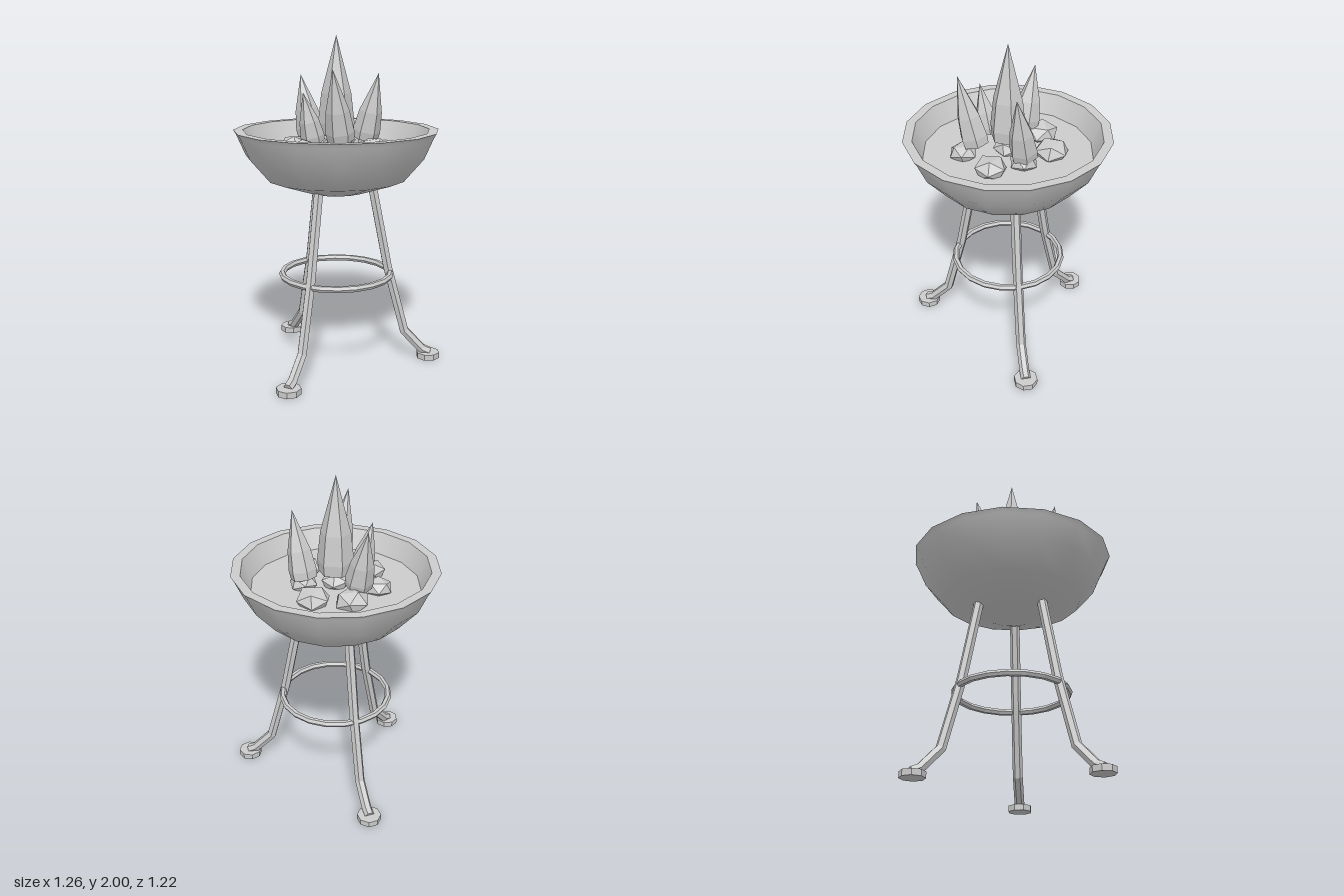
import * as THREE from 'three';

const flat = new THREE.MeshStandardMaterial({ color: 0xcccccc, flatShading: true });
const smooth = new THREE.MeshStandardMaterial({ color: 0xcccccc });
const CENTER_X = -0.02;
const v2 = (p) => p.map(([x, y]) => new THREE.Vector2(x, y));

function add(parent, name, geometry, material, x = 0, y = 0, z = 0) {
  const mesh = new THREE.Mesh(geometry, material);
  mesh.name = name;
  mesh.position.set(x, y, z);
  parent.add(mesh);
  return mesh;
}

// Six-sided bar swept along a bent path in the XY plane, with mitred joints
function barGeometry(path, radius, sides = 6) {
  const pts = v2(path), pos = [], idx = [];
  pts.forEach((p, i) => {
    const a = pts[Math.max(i - 1, 0)], b = pts[Math.min(i + 1, pts.length - 1)];
    const d1 = (i ? p.clone().sub(a) : b.clone().sub(p)).normalize();
    const d2 = (i < pts.length - 1 ? b.clone().sub(p) : p.clone().sub(a)).normalize();
    const t = d1.clone().add(d2).normalize();
    const miter = 1 / t.dot(d1);
    for (let k = 0; k < sides; k++) {
      const ang = ((k + 0.5) / sides) * Math.PI * 2;
      const u = Math.cos(ang) * radius * miter;
      pos.push(p.x - t.y * u, p.y + t.x * u, Math.sin(ang) * radius);
    }
  });
  for (let i = 0; i < pts.length - 1; i++) {
    for (let k = 0; k < sides; k++) {
      const a = i * sides + k, b = i * sides + ((k + 1) % sides);
      idx.push(a, b, a + sides, b, b + sides, a + sides);
    }
  }
  const last = (pts.length - 1) * sides;
  for (let k = 1; k < sides - 1; k++) {
    idx.push(0, k + 1, k, last, last + k, last + k + 1);
  }
  const g = new THREE.BufferGeometry();
  g.setAttribute('position', new THREE.Float32BufferAttribute(pos, 3));
  g.setIndex(idx);
  g.computeVertexNormals();
  return g;
}

// Six-sided flame leaning from its base point to its tip
function addFlame(parent, base, tip, radius) {
  const from = new THREE.Vector3(...base), dir = new THREE.Vector3(...tip).sub(from);
  const h = dir.length();
  const profile = v2([[0, 0], [radius * 0.94, 0], [radius, h * 0.12], [radius * 0.82, h * 0.42], [0, h]]);
  const flame = add(parent, 'flame', new THREE.LatheGeometry(profile, 6, Math.PI / 2), flat, ...base);
  flame.quaternion.setFromUnitVectors(new THREE.Vector3(0, 1, 0), dir.normalize());
}

export function createModel() {
  const model = new THREE.Group();
  model.name = 'firePit';

  // Bowl: separate lathes keep the rim edges sharp
  const bowl = new THREE.Group();
  bowl.name = 'bowl';
  bowl.position.x = CENTER_X;
  model.add(bowl);
  const lathe = (name, pts) => add(bowl, name, new THREE.LatheGeometry(v2(pts), 16), smooth);
  lathe('bowlShell', [[0, 1.08], [0.18, 1.08], [0.42, 1.16], [0.54, 1.3], [0.595, 1.425], [0.61, 1.45]]);
  lathe('bowlRim', [[0.61, 1.45], [0.555, 1.45]]);
  lathe('bowlInnerWall', [[0.555, 1.45], [0.5, 1.33]]);
  lathe('bowlFloor', [[0.5, 1.33], [0, 1.33]]);

  // Three bent legs with octagonal feet
  const legGeo = barGeometry([[0.215, 1.12], [0.315, 0.6], [0.425, 0.18], [0.54, 0.055], [0.585, 0.035]], 0.03);
  const footGeo = new THREE.CylinderGeometry(0.073, 0.073, 0.036, 8);
  footGeo.rotateY(Math.PI / 8);
  for (let i = 0; i < 3; i++) {
    const leg = new THREE.Group();
    leg.name = 'leg';
    leg.position.x = CENTER_X;
    leg.rotation.y = (i * Math.PI * 2) / 3;
    add(leg, 'legBar', legGeo, flat);
    add(leg, 'foot', footGeo, flat, 0.578, 0.018, 0);
    model.add(leg);
  }

  // Bracing ring
  const ring = add(model, 'braceRing', new THREE.TorusGeometry(0.333, 0.02, 6, 20), flat, CENTER_X, 0.562, 0);
  ring.rotation.x = Math.PI / 2;

  // Coals: x, z, radius
  const coals = [
    [-0.02, 0, 0.09], [-0.15, -0.225, 0.105], [0.07, -0.24, 0.105], [-0.275, -0.04, 0.085],
    [0.19, 0.14, 0.1], [-0.005, 0.265, 0.085], [-0.21, 0.17, 0.088], [0.16, -0.055, 0.085],
  ];
  coals.forEach(([x, z, r], i) => {
    const geo = new THREE.IcosahedronGeometry(r, 0);
    geo.rotateX(0.5536 + 0.1 * Math.sin(i * 2.3));
    geo.rotateY(i * 1.1);
    geo.scale(1, 0.68, 1);
    add(model, 'coal', geo, flat, x, 1.355, z);
  });

  // Flames: base, tip, radius
  addFlame(model, [-0.02, 1.42, 0], [-0.02, 2, 0], 0.108);
  addFlame(model, [-0.17, 1.4, -0.13], [-0.23, 1.76, -0.2], 0.083);
  addFlame(model, [0.155, 1.39, -0.06], [0.23, 1.78, 0], 0.083);
  addFlame(model, [-0.155, 1.39, 0.09], [-0.215, 1.68, 0.13], 0.07);
  addFlame(model, [0, 1.41, 0.19], [-0.05, 1.82, 0.28], 0.083);

  return model;
}
